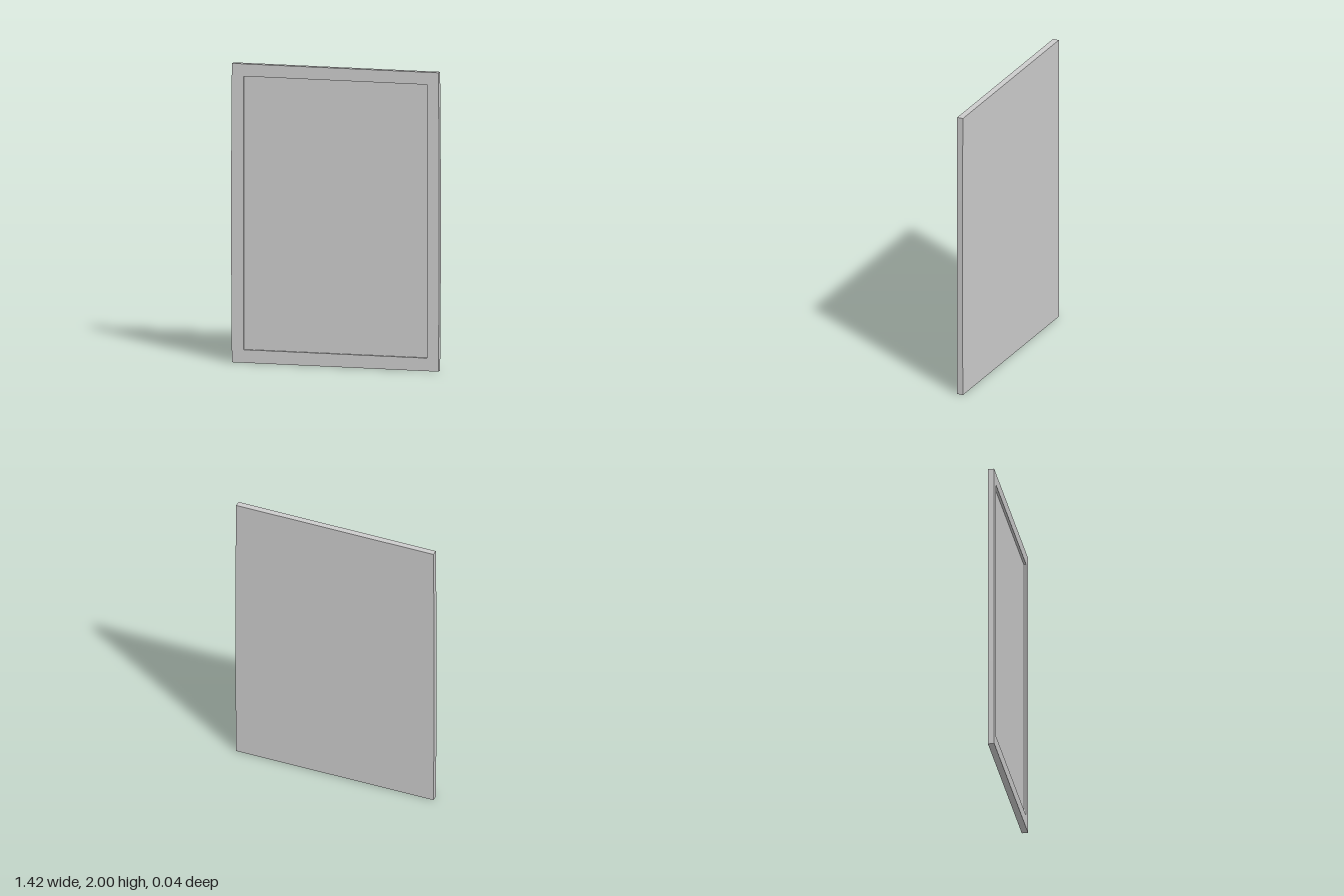
import * as THREE from 'three';

const W = 0.707, H = 2, BOW = 0.005; // half width, height, slight bulge of the long sides
const BACK = -0.022, FLOOR = 0.004, FRONT = 0.02; // z levels

// Outer outline with gently bowed long sides
function outline() {
  const s = new THREE.Shape();
  s.moveTo(-W, 0);
  s.lineTo(W, 0);
  s.quadraticCurveTo(W + 2 * BOW, H / 2, W, H);
  s.lineTo(-W, H);
  s.quadraticCurveTo(-W - 2 * BOW, H / 2, -W, 0);
  return s;
}

function slab(name, shape, z0, z1, material) {
  const geometry = new THREE.ExtrudeGeometry(shape, { depth: z1 - z0, bevelEnabled: false, curveSegments: 10 });
  geometry.translate(0, 0, z0);
  const mesh = new THREE.Mesh(geometry, material);
  mesh.name = name;
  return mesh;
}

export function createModel() {
  const group = new THREE.Group();
  group.name = 'framedPanel';
  const material = new THREE.MeshStandardMaterial({ color: 0xcccccc });

  // Flat back board, its front being the floor of the recess
  group.add(slab('backPanel', outline(), BACK, FLOOR, material));

  // Raised border around the recess
  const border = outline();
  const hole = new THREE.Path();
  hole.moveTo(-0.628, 0.087);
  hole.lineTo(-0.628, 1.917);
  hole.lineTo(0.628, 1.917);
  hole.lineTo(0.628, 0.087);
  hole.closePath();
  border.holes.push(hole);
  group.add(slab('frontFrame', border, FLOOR, FRONT, material));

  return group;
}
